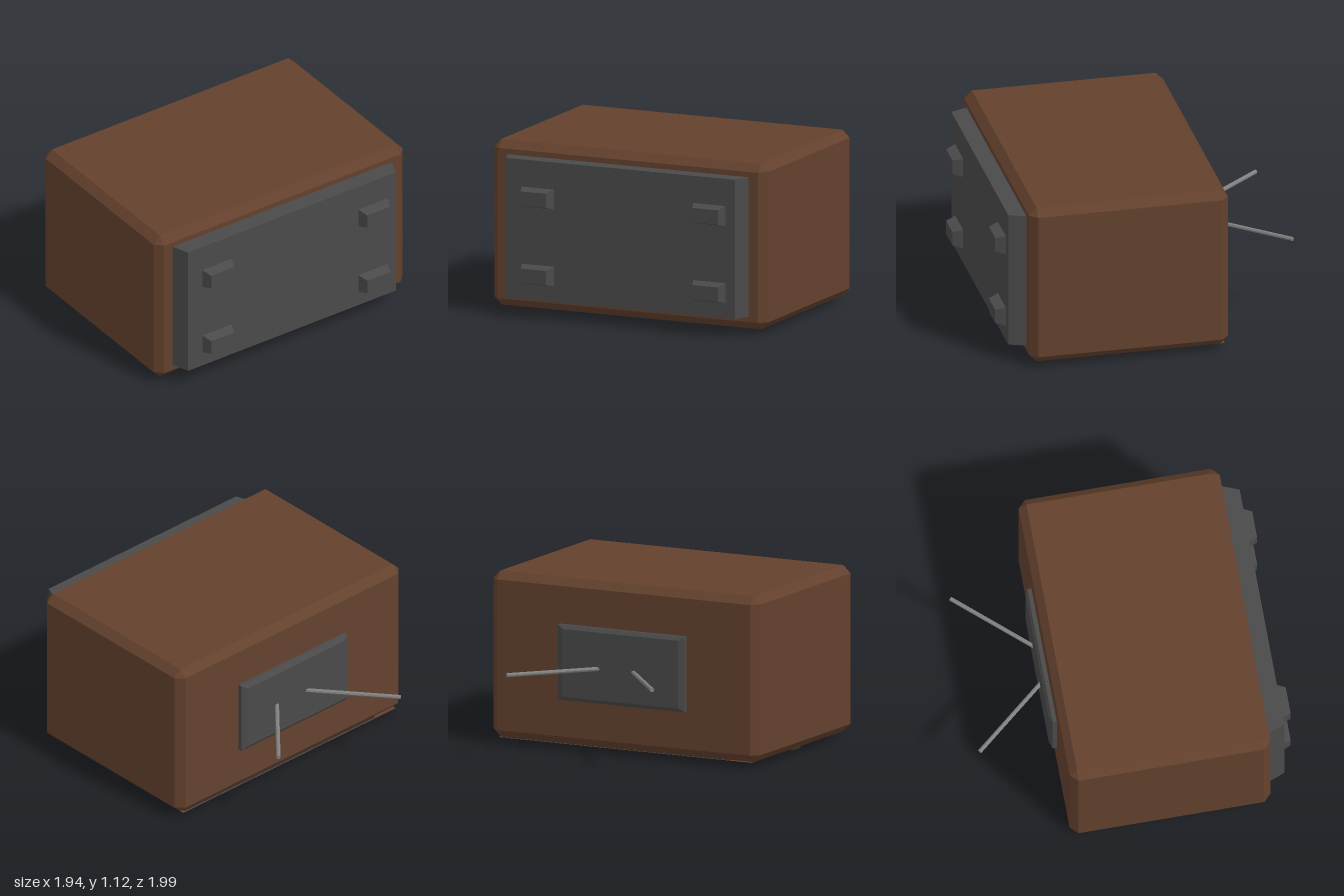
import * as THREE from 'three';

const mat = (color, flat = true) =>
  new THREE.MeshStandardMaterial({ color, flatShading: flat, side: THREE.DoubleSide });
const WOOD = mat(0x63412d), GREY = mat(0x4a4a4a), DARK = mat(0x2c2c2c), BUTTON = mat(0x5a5a5a);
const METAL = mat(0x808080), GLASS = mat(0x10102a, false), BADGE = mat(0x40331f);

// Octagonal ring (x, y) at level z: a rectangle with its corners cut by c
function ring(x0, x1, y0, y1, z, c = 0) {
  return [[x0 + c, y0], [x1 - c, y0], [x1, y0 + c], [x1, y1 - c],
    [x1 - c, y1], [x0 + c, y1], [x0, y1 - c], [x0, y0 + c]].map(([x, y]) => new THREE.Vector3(x, y, z));
}

// Skin over a list of rings, with optional end caps
function loft(rings, capStart = true, capEnd = true) {
  const pts = [];
  const tri = (a, b, c) => {
    if (a.distanceTo(b) > 1e-6 && b.distanceTo(c) > 1e-6 && c.distanceTo(a) > 1e-6) pts.push(a, b, c);
  };
  for (let r = 0; r < rings.length - 1; r++) {
    const a = rings[r], b = rings[r + 1];
    for (let i = 0; i < 8; i++) {
      const j = (i + 1) % 8;
      tri(a[i], a[j], b[j]);
      tri(a[i], b[j], b[i]);
    }
  }
  const first = rings[0], last = rings[rings.length - 1];
  for (let i = 1; i < 7; i++) {
    if (capStart) tri(first[0], first[i + 1], first[i]);
    if (capEnd) tri(last[0], last[i], last[i + 1]);
  }
  const g = new THREE.BufferGeometry().setFromPoints(pts);
  g.computeVertexNormals();
  return g;
}

// Flat rectangle [x0, x1, z0, z1] with a rectangular hole, facing down
function plate(o, h, y) {
  const corners = ([x0, x1, z0, z1]) =>
    [[x0, z0], [x1, z0], [x1, z1], [x0, z1]].map(p => new THREE.Vector2(...p));
  const s = new THREE.Shape(corners(o));
  s.holes.push(new THREE.Path(corners(h)));
  return new THREE.ShapeGeometry(s).rotateX(Math.PI / 2).translate(0, y, 0);
}

export function createModel() {
  const model = new THREE.Group();
  const add = (name, geometry, material, x = 0, y = 0, z = 0) => {
    const m = new THREE.Mesh(geometry, material);
    m.name = name;
    m.position.set(x, y, z);
    model.add(m);
    return m;
  };

  // Wooden cabinet with chamfered edges, open on the screen side
  const c = 0.05, X = 0.97;
  const inset = z => ring(-X + c, X - c, -0.825 + c, 0.48 - c, z);
  const full = z => ring(-X, X, -0.825, 0.48, z, c);
  add('cabinet', loft([inset(0.04), full(0.04 + c), full(1.12 - c), inset(1.12)], false, true)
    .rotateX(-Math.PI / 2), WOOD);

  // Screen side: wooden face, dark panel and sloping bezel
  const panel = [-0.75, 0.9, -0.45, 0.765];
  const opening = [-0.6, 0.86, -0.42, 0.73];
  add('cabinetFace', plate([-X + c, X - c, -0.48 + c, 0.825 - c].map((v, i) => i === 2 ? -0.46 : v),
    panel, 0.041), WOOD);
  add('screenPanel', plate(panel, opening, 0.04), DARK);
  add('screenBezel', loft([ring(...opening, -0.04), ring(-0.474, 0.734, -0.31, 0.62, -0.2)], false, false)
    .rotateX(Math.PI / 2), GREY);

  // Bulging picture tube
  const tube = new THREE.PlaneGeometry(1.44, 1.13, 24, 18);
  const p = tube.attributes.position;
  for (let i = 0; i < p.count; i++)
    p.setZ(i, -0.005 - 0.149 * p.getX(i) ** 2 - 0.342 * p.getY(i) ** 2);
  tube.computeVertexNormals();
  add('screen', tube.rotateX(Math.PI / 2), GLASS, 0.13, 0, 0.155);

  // Controls beside the screen
  for (const [z, d] of [[-0.365, 0.07], [-0.11, 0.055], [-0.035, 0.055]])
    add('button', new THREE.BoxGeometry(0.09, 0.02, d), BUTTON, -0.675, 0.04, z);
  add('knob', new THREE.CylinderGeometry(0.014, 0.014, 0.025, 10), METAL, -0.68, 0.032, 0.08);
  add('nameplate', new THREE.BoxGeometry(0.18, 0.015, 0.11), BADGE, -0.835, 0.038, 0.135);

  // Stand with four tapered feet
  add('stand', loft([ring(-0.855, 0.855, 0.125, 1.035, 0.82), ring(-0.81, 0.81, 0.125, 1.035, 0.935)]), GREY);
  const foot = loft([ring(-0.116, 0.116, -0.066, 0.066, 0.93), ring(-0.09, 0.09, -0.047, 0.047, 1)]);
  for (const x of [-0.585, 0.63])
    for (const y of [0.29, 0.793]) add('foot', foot, GREY, x, y);

  // Antenna base plate with bevelled rim
  add('antennaBase', loft([ring(-0.42, 0.42, 0.36, 0.8, -0.525),
    ring(-0.46, 0.46, 0.335, 0.825, -0.507), ring(-0.46, 0.46, 0.335, 0.825, -0.47)]), GREY);

  // Pair of diverging antenna rods
  for (const [x0, x1] of [[-0.085, -0.482], [0.155, 0.575]]) {
    const a = new THREE.Vector3(x0, 0.563, -0.51), b = new THREE.Vector3(x1, 0.563, -0.985);
    const rod = add('antenna', new THREE.CylinderGeometry(0.014, 0.014, a.distanceTo(b), 8), METAL);
    rod.position.copy(a).add(b).multiplyScalar(0.5);
    rod.quaternion.setFromUnitVectors(new THREE.Vector3(0, 1, 0), b.sub(a).normalize());
  }
  return model;
}
